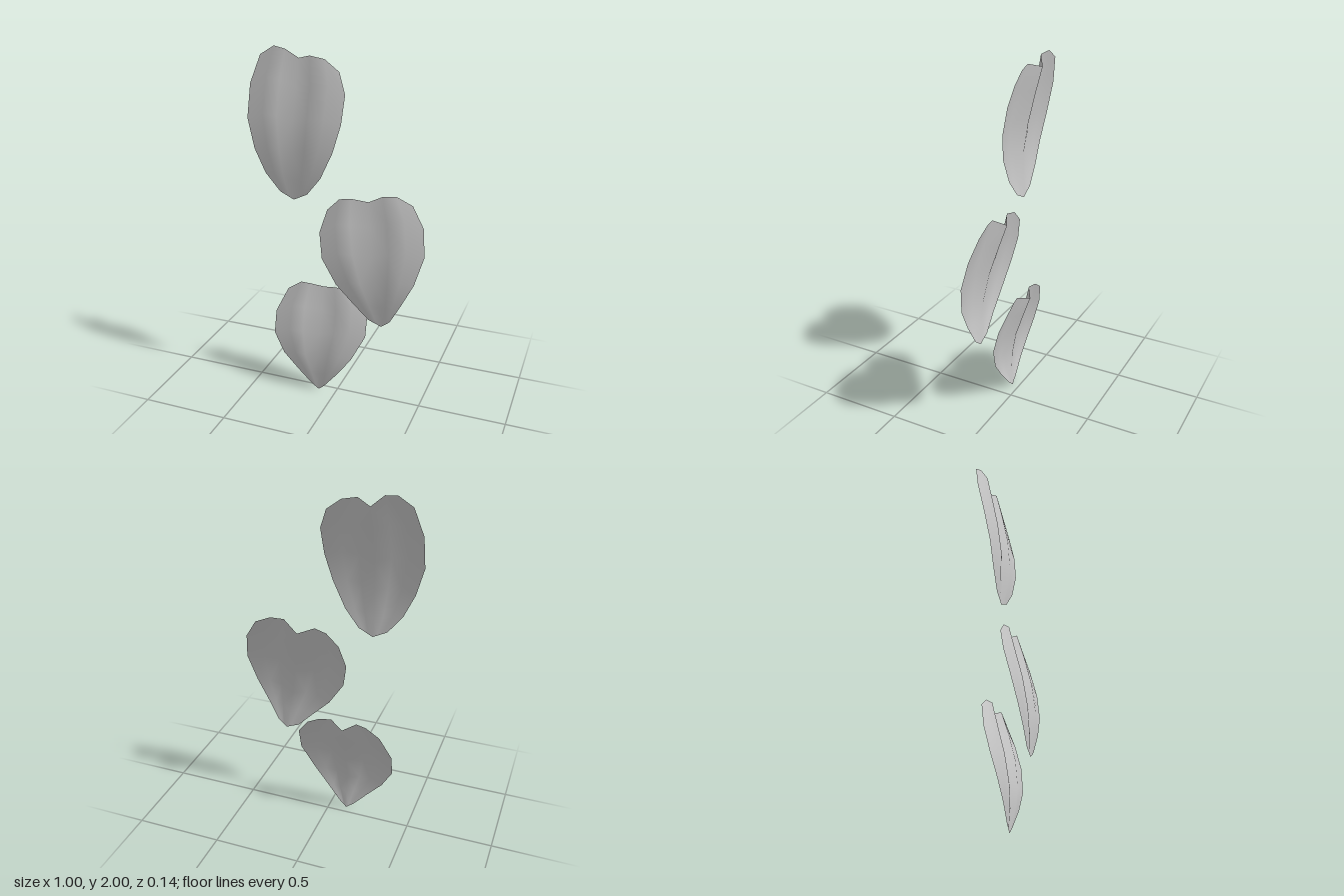
import * as THREE from 'three';

const { lerp } = THREE.MathUtils;

// Piecewise-linear lookup in a list of [key, value] pairs
function sample(table, k) {
  for (let i = 1; i < table.length; i++) {
    const [k0, v0] = table[i - 1], [k1, v1] = table[i];
    if (k <= k1) return lerp(v0, v1, Math.max(0, (k - k0) / (k1 - k0)));
  }
  return table[table.length - 1][1];
}

// Lengthwise bow of a petal: height fraction -> z along the two lobes
const bow = [[0, 0.042], [0.2, 0.061], [0.35, 0.066], [0.55, 0.052], [0.75, 0.02], [0.94, -0.012], [1, -0.025]];

// Outlines: left and right sides run upward, the top edge runs left to right through the notch
const petals = [
  {
    name: 'upperPetal', tip: [-0.24, 1.19], height: 0.81,
    left: [[-0.32, 1.23], [-0.4, 1.33], [-0.46, 1.46], [-0.505, 1.62], [-0.5, 1.8], [-0.45, 1.95]],
    right: [[-0.16, 1.23], [-0.08, 1.33], [-0.01, 1.48], [0.03, 1.63], [0.04, 1.78], [0, 1.89]],
    top: [[-0.45, 1.95], [-0.37, 2], [-0.3, 1.99], [-0.24, 1.94], [-0.16, 1.965], [-0.08, 1.95], [0, 1.89]],
  },
  {
    name: 'middlePetal', tip: [0.275, 0.5], height: 0.75,
    left: [[0.2, 0.53], [0.11, 0.62], [0.01, 0.72], [-0.08, 0.86], [-0.105, 1], [-0.07, 1.13]],
    right: [[0.325, 0.54], [0.39, 0.66], [0.455, 0.79], [0.5, 0.95], [0.48, 1.1], [0.41, 1.21]],
    top: [[-0.07, 1.13], [0, 1.2], [0.07, 1.215], [0.155, 1.19], [0.245, 1.245], [0.32, 1.25], [0.41, 1.21]],
  },
  {
    name: 'lowerPetal', tip: [-0.105, 0], height: 0.66,
    left: [[-0.15, 0.035], [-0.23, 0.12], [-0.32, 0.215], [-0.385, 0.33], [-0.385, 0.46], [-0.32, 0.6]],
    right: [[-0.07, 0.03], [0.02, 0.14], [0.1, 0.25], [0.175, 0.4], [0.175, 0.53], [0.11, 0.62]],
    top: [[-0.32, 0.6], [-0.24, 0.655], [-0.18, 0.66], [-0.11, 0.63], [-0.03, 0.66], [0.04, 0.655], [0.11, 0.62]],
  },
];

// Fill the outline with a blended grid, then bow it and press in the centre crease
function petalGeometry({ tip, height, left, right, top }) {
  const cols = top.length - 1, rows = left.length - 1;
  const positions = [], index = [];
  for (let j = 0; j <= rows; j++) {
    for (let i = 0; i <= cols; i++) {
      const u = i / cols, t = j / rows;
      const [x, y] = [0, 1].map((a) => {
        const bottom = u < 0.5 ? lerp(left[0][a], tip[a], 2 * u) : lerp(tip[a], right[0][a], 2 * u - 1);
        const corners = lerp(lerp(left[0][a], right[0][a], u), lerp(left[rows][a], right[rows][a], u), t);
        return lerp(left[j][a], right[j][a], u) + lerp(bottom, top[i][a], t) - corners;
      });
      const v = (y - tip[1]) / height;
      const s = Math.abs(2 * u - 1);
      const crease = 0.057 * v * Math.max(0, 1 - 3 * s);
      const edge = 0.025 * Math.min(1, 1.5 * v) * Math.max(0, (3 * s - 1) / 2);
      positions.push(x, y, sample(bow, v) - crease - edge);
      if (i < cols && j < rows) {
        const a = j * (cols + 1) + i, b = a + cols + 1;
        // mirror the diagonals about the crease
        if (u < 0.5) index.push(a, a + 1, b + 1, a, b + 1, b);
        else index.push(a, a + 1, b, a + 1, b + 1, b);
      }
    }
  }
  const geometry = new THREE.BufferGeometry();
  geometry.setAttribute('position', new THREE.Float32BufferAttribute(positions, 3));
  geometry.setIndex(index);
  geometry.computeVertexNormals();
  return geometry;
}

export function createModel() {
  const group = new THREE.Group();
  group.name = 'petals';
  const material = new THREE.MeshStandardMaterial({ color: 0xcccccc, side: THREE.DoubleSide });
  for (const petal of petals) {
    const mesh = new THREE.Mesh(petalGeometry(petal), material);
    mesh.name = petal.name;
    group.add(mesh);
  }
  return group;
}
